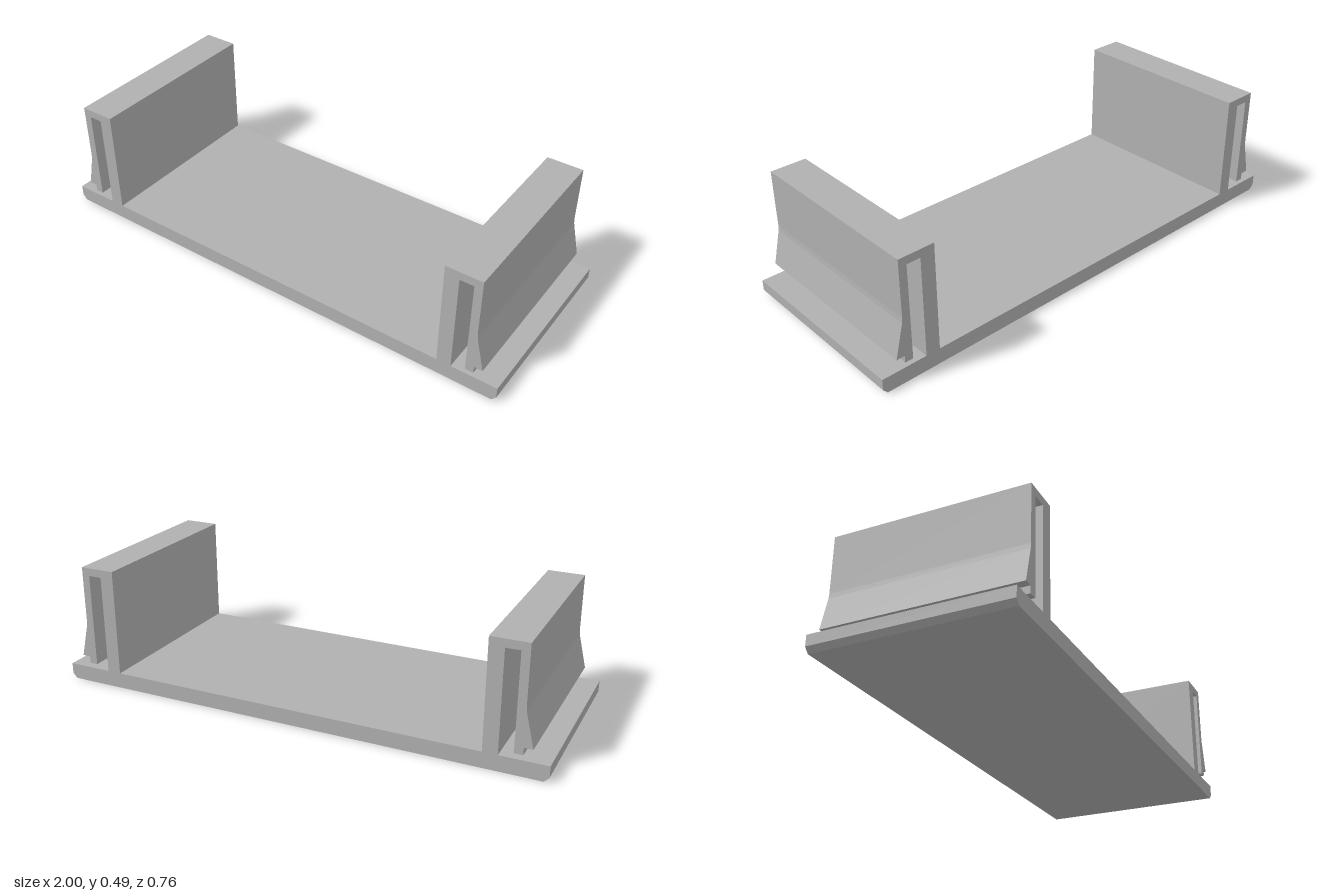
import * as THREE from 'three';

const DEPTH = 0.762;

export function createModel() {
  const model = new THREE.Group();
  model.name = 'clipBracket';
  const grey = new THREE.MeshStandardMaterial({ color: 0xb0b0b0 });
  grey.name = 'grey plastic';

  // Extrude a front profile along z, centred on z = 0
  function addProfile(name, points) {
    const shape = new THREE.Shape(points.map(([x, y]) => new THREE.Vector2(x, y)));
    const geometry = new THREE.ExtrudeGeometry(shape, { depth: DEPTH, bevelEnabled: false });
    geometry.translate(0, 0, -DEPTH / 2);
    const mesh = new THREE.Mesh(geometry, grey);
    mesh.name = name;
    model.add(mesh);
  }

  // Base plate with chamfered lower ends
  addProfile('basePlate', [
    [-0.982, 0], [0.982, 0], [1, 0.02], [1, 0.063], [-1, 0.063], [-1, 0.02],
  ]);

  // Upright wall, top bridge and hanging spring arm with a flared barb
  const clip = [
    [0.76, 0.06], [0.817, 0.06], [0.817, 0.461], [0.872, 0.461],
    [0.872, 0.083], [0.905, 0.083], [0.905, 0.111], [0.938, 0.111],
    [0.906, 0.245], [0.904, 0.265], [0.904, 0.493], [0.76, 0.493],
  ];
  addProfile('leftClip', clip);
  addProfile('rightClip', clip.map(([x, y]) => [-x, y]));

  return model;
}
